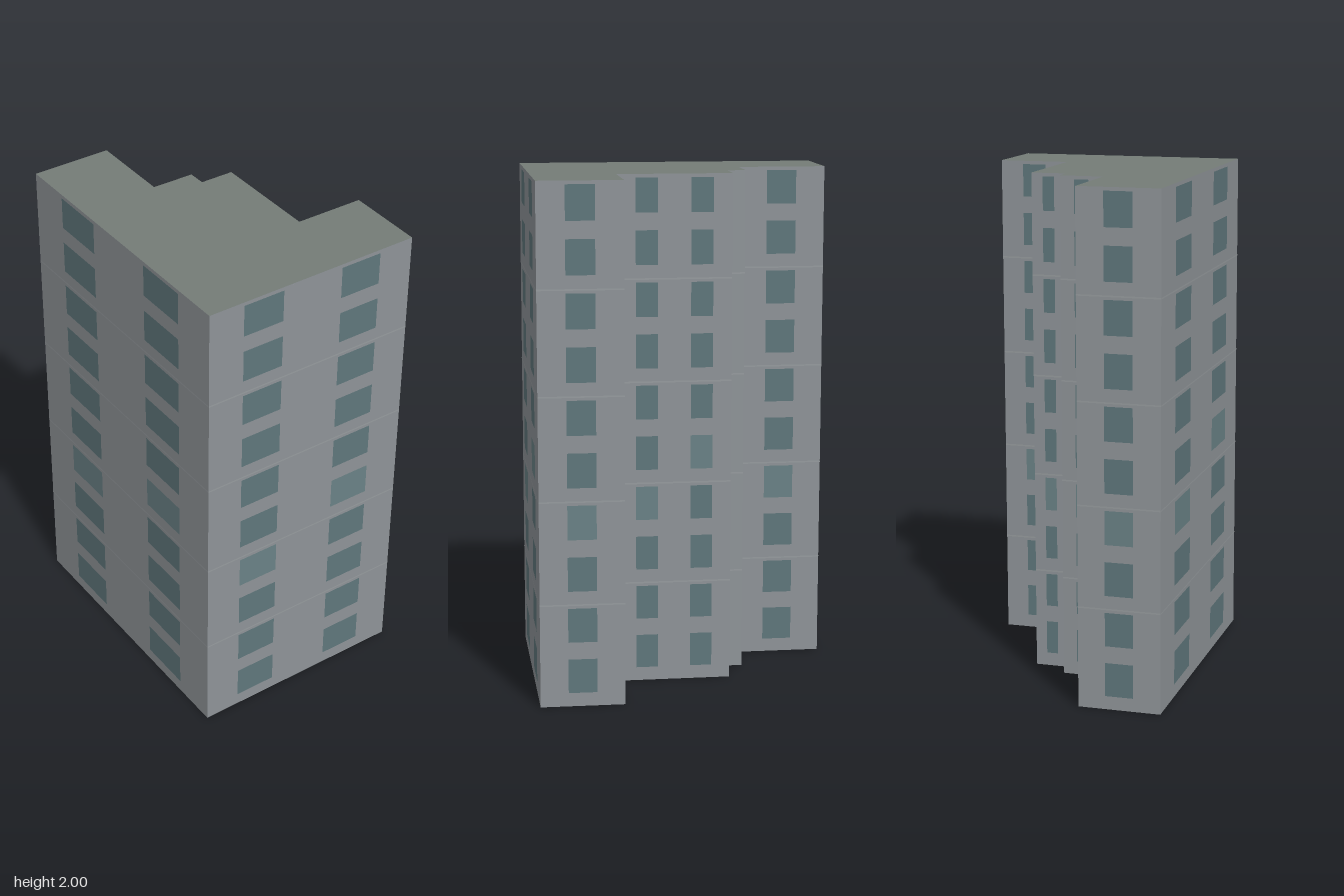
import * as THREE from 'three';

const HEIGHT = 2, FLOORS = 10, FLOOR_H = HEIGHT / FLOORS;

// Footprint corners [x, z], with the number of window columns on the wall that starts there
const WALLS = [
  [-0.739, -0.051, 2], [0.328, 0.482, 2], [0.737, -0.340, 1], [0.447, -0.487, 1],
  [0.320, -0.235, 2], [-0.079, -0.434, 1], [-0.141, -0.311, 0], [-0.206, -0.342, 1],
  [-0.285, -0.188, 1], [-0.593, -0.343, 1],
];

// Window centres and width as fractions of the wall length
const LAYOUT = {
  0: { centres: [], width: 0 },
  1: { centres: [0.5], width: 0.34 },
  2: { centres: [0.26, 0.74], width: 0.192 },
};

const paint = (color) => new THREE.MeshStandardMaterial({ color });

export function createModel() {
  const group = new THREE.Group();
  const wallMat = paint(0x8f9498), roofMat = paint(0x747c77);
  const glassMat = paint(0x5f777c), paleGlassMat = paint(0x6a8286), seamMat = paint(0x979c9f);

  const footprint = new THREE.Shape(WALLS.map(([x, z]) => new THREE.Vector2(x, -z)));
  const addSlab = (name, y, depth, materials) => {
    const geometry = new THREE.ExtrudeGeometry(footprint, { depth, bevelEnabled: false });
    geometry.rotateX(-Math.PI / 2);
    const mesh = new THREE.Mesh(geometry, materials);
    mesh.position.y = y;
    mesh.name = name;
    group.add(mesh);
  };

  // Tower and flat roof
  addSlab('tower', 0, HEIGHT - 0.005, wallMat);
  addSlab('roof', HEIGHT - 0.005, 0.005, [roofMat, wallMat]);

  WALLS.forEach(([x0, z0, columns], i) => {
    const [x1, z1] = WALLS[(i + 1) % WALLS.length];
    const length = Math.hypot(x1 - x0, z1 - z0);

    // Each facade's local x runs along the wall, local z points outward
    const facade = new THREE.Group();
    facade.name = 'facade' + (i + 1);
    facade.position.set(x0, 0, z0);
    facade.rotation.y = Math.atan2(z0 - z1, x1 - x0);
    group.add(facade);

    const addPanel = (name, geometry, material, x, y, z) => {
      const mesh = new THREE.Mesh(geometry, material);
      mesh.name = name;
      mesh.position.set(x, y, z);
      facade.add(mesh);
    };

    // Thin seams between pairs of floors
    const seam = new THREE.PlaneGeometry(length, 0.006);
    for (let f = 2; f < FLOORS; f += 2) {
      addPanel('floorSeam', seam, seamMat, length / 2, f * FLOOR_H, 0.001);
    }

    // Flush windows, one row per floor, with a few paler panes
    const { centres, width } = LAYOUT[columns];
    const pane = new THREE.PlaneGeometry(width * length, 0.133);
    centres.forEach((c, col) => {
      for (let f = 0; f < FLOORS; f++) {
        const material = f === 3 + col ? paleGlassMat : glassMat;
        addPanel('window', pane, material, c * length, f * FLOOR_H + 0.12, 0.002);
      }
    });
  });

  return group;
}
